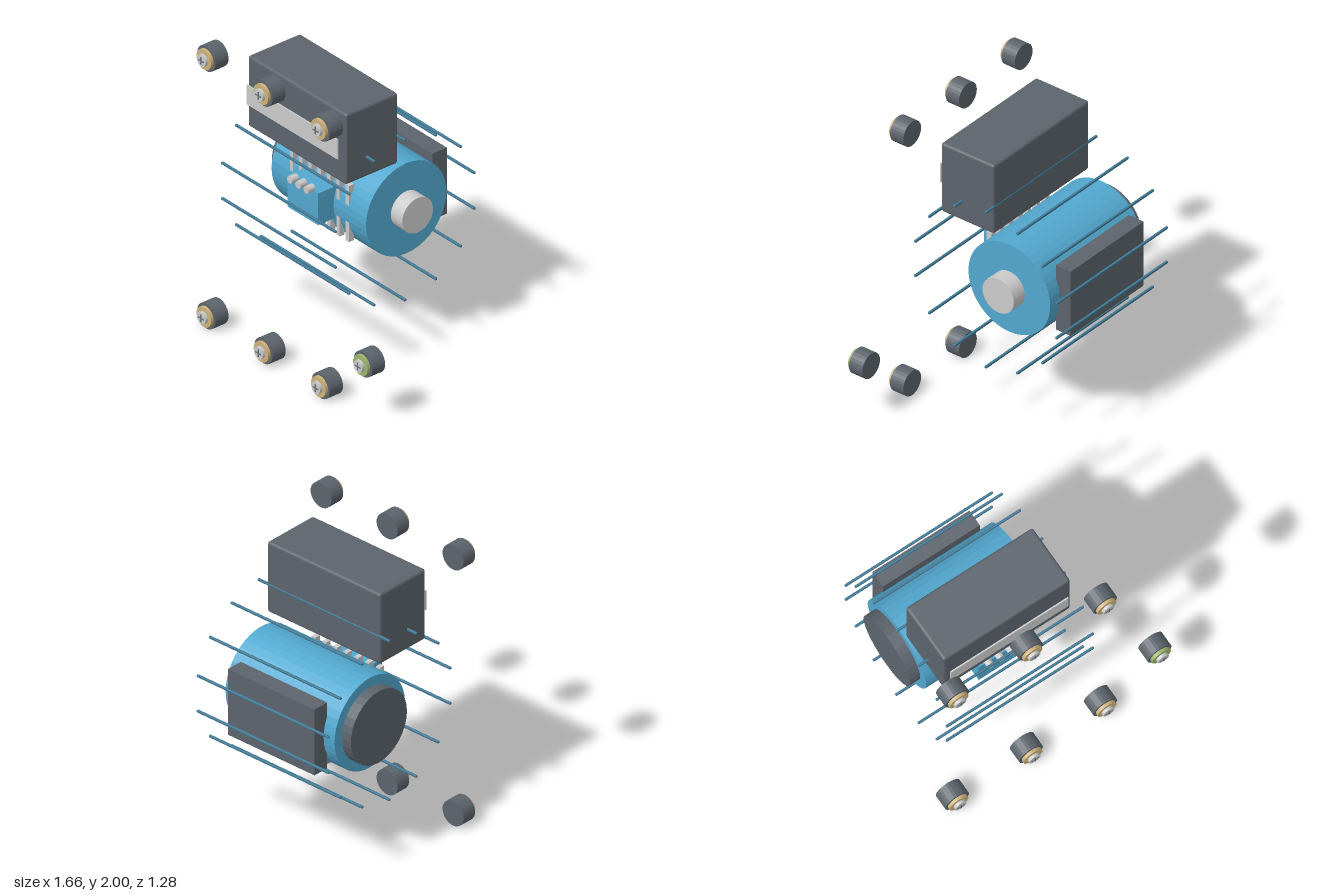
import * as THREE from 'three';
import { RoundedBoxGeometry } from 'three/addons/geometries/RoundedBoxGeometry.js';

const mat = (color) => new THREE.MeshStandardMaterial({ color });

export function createModel() {
  const model = new THREE.Group();
  const blue = mat(0x52a8cf), dark = mat(0x5c646c), grey = mat(0xcccccc);
  const teal = mat(0x417a96), gold = mat(0xcdb27c), green = mat(0x9fb56c), slot = mat(0x6c747a);
  blue.flatShading = dark.flatShading = true;

  const add = (parent, name, geometry, material, x, y, z) => {
    const mesh = new THREE.Mesh(geometry, material);
    mesh.name = name;
    mesh.position.set(x, y, z);
    parent.add(mesh);
    return mesh;
  };
  // box given by its lower and upper corners
  const box = (parent, name, material, [x0, y0, z0], [x1, y1, z1], radius = 0) => {
    const size = [x1 - x0, y1 - y0, z1 - z0];
    const geometry = radius ? new RoundedBoxGeometry(...size, 2, radius) : new THREE.BoxGeometry(...size);
    return add(parent, name, geometry, material, (x0 + x1) / 2, (y0 + y1) / 2, (z0 + z1) / 2);
  };
  const cylX = (name, material, r, x0, x1, sides) =>
    add(motor, name, new THREE.CylinderGeometry(r, r, x1 - x0, sides).rotateZ(Math.PI / 2),
      material, (x0 + x1) / 2, 1.003, -0.178);
  const cylZ = (parent, name, material, r, z0, z1, sides, x = 0, y = 0) =>
    add(parent, name, new THREE.CylinderGeometry(r, r, z1 - z0, sides).rotateX(Math.PI / 2),
      material, x, y, (z0 + z1) / 2);

  // Motor housing, end cap, shaft and mounting plate
  const motor = new THREE.Group();
  motor.name = 'motor';
  model.add(motor);
  cylX('housing', blue, 0.319, -0.67, 0.228, 40);
  cylX('endCap', dark, 0.254, -0.745, -0.669, 32);
  cylX('shaft', grey, 0.122, 0.227, 0.337, 32);
  box(motor, 'mountingPlate', dark, [-0.58, 0.77, -0.58], [0.133, 1.238, -0.465]);

  // Bars that break through the curved housing above and below its middle
  for (let i = 0; i < 7; i++) {
    const x = -0.488 + i * 0.0885;
    box(motor, 'upperVentBar', grey, [x - 0.016, 1.03, 0.095], [x + 0.016, 1.202, 0.135]);
    box(motor, 'lowerVentBar', grey, [x - 0.016, 0.805, 0.095], [x + 0.016, 0.976, 0.135]);
  }

  // Connection box with three studs
  box(motor, 'connectionBox', blue, [-0.368, 0.912, 0.08], [-0.08, 1.135, 0.265]);
  for (const x of [-0.302, -0.224, -0.146])
    cylZ(motor, 'connectionStud', grey, 0.025, 0.25, 0.305, 16, x, 1.146);

  // Control cabinet with a separate label plate in front
  const cabinet = new THREE.Group();
  cabinet.name = 'cabinet';
  model.add(cabinet);
  box(cabinet, 'cabinetBody', dark, [-0.67, 1.372, -0.085], [0.263, 1.872, 0.33], 0.018);
  box(cabinet, 'labelPlate', grey, [-0.64, 1.553, 0.356], [0.226, 1.69, 0.366]);

  // Cage of thin rods around the motor
  const cage = new THREE.Group();
  cage.name = 'rodCage';
  model.add(cage);
  const rod = new RoundedBoxGeometry(1.086, 0.016, 0.016, 1, 0.004);
  for (let i = 0; i < 14; i++) {
    const a = (i / 14) * Math.PI * 2;
    add(cage, 'rod', rod, teal, -0.204, 1.005 + 0.565 * Math.cos(a), -0.08 + 0.565 * Math.sin(a));
  }

  // Screw terminals
  const terminal = (x, y, ring) => {
    const group = new THREE.Group();
    group.name = 'terminal';
    group.position.set(x, y, 0);
    cylZ(group, 'terminalBody', dark, 0.087, 0.49, 0.594, 28);
    cylZ(group, 'terminalRing', ring, 0.069, 0.593, 0.615, 28);
    cylZ(group, 'screwHead', grey, 0.041, 0.614, 0.635, 24);
    box(group, 'screwSlotAcross', slot, [-0.026, -0.004, 0.63], [0.026, 0.004, 0.639]);
    box(group, 'screwSlotUpright', slot, [-0.004, -0.026, 0.63], [0.004, 0.026, 0.639]);
    model.add(group);
  };
  for (const x of [-0.748, -0.204, 0.34])
    for (const y of [1.913, 0.09]) terminal(x, y, gold);
  terminal(0.741, 0.424, green);

  return model;
}
